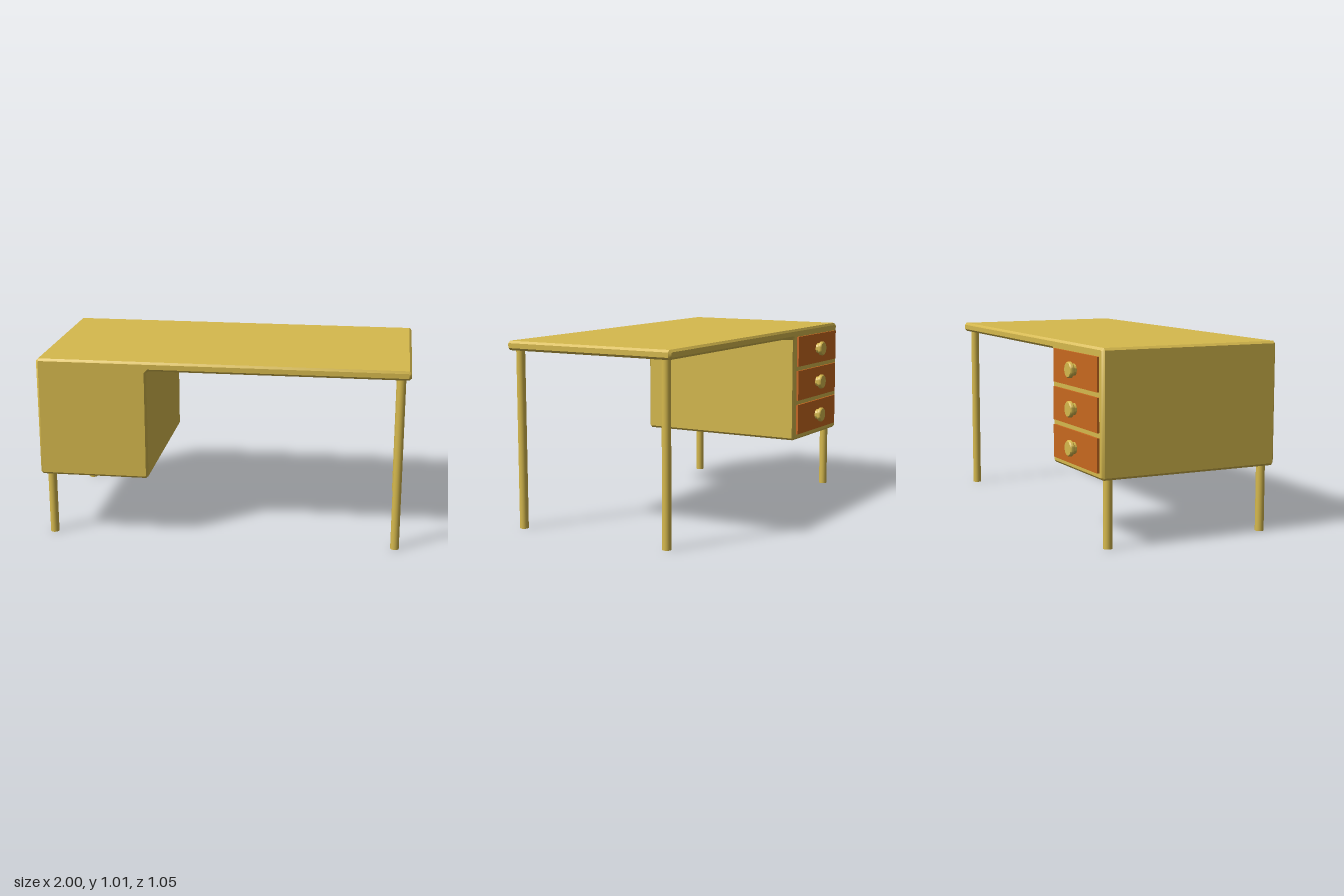
import * as THREE from 'three';
import { toCreasedNormals } from 'three/addons/utils/BufferGeometryUtils.js';

const BEVEL = 0.012;

// Closed outline with every corner cut by a small chamfer
function chamferedShape(corners, cut) {
  const points = [];
  corners.forEach(([x, y], i) => {
    const corner = new THREE.Vector2(x, y);
    for (const step of [-1, 1]) {
      const [nx, ny] = corners[(i + step + corners.length) % corners.length];
      const dir = new THREE.Vector2(nx - x, ny - y).normalize();
      points.push(corner.clone().addScaledVector(dir, cut));
    }
  });
  return new THREE.Shape(points);
}

export function createModel() {
  const model = new THREE.Group();
  model.name = 'desk';
  const wood = new THREE.MeshStandardMaterial({ name: 'golden wood', color: 0xd6b94d });
  const drawerPaint = new THREE.MeshStandardMaterial({ name: 'orange drawer', color: 0xc8681f });

  function add(parent, name, geometry, material, x, y, z) {
    const mesh = new THREE.Mesh(geometry, material);
    mesh.name = name;
    mesh.position.set(x, y, z);
    parent.add(mesh);
    return mesh;
  }

  // Table top and drawer cabinet as one L-shaped body, extruded front to back
  const outline = chamferedShape([
    [-1, 0.355], [-0.398, 0.355], [-0.398, 0.96], [1, 0.96], [1, 1.01], [-1, 1.01],
  ], BEVEL);
  const body = new THREE.ExtrudeGeometry(outline, {
    depth: 1 - 2 * BEVEL,
    bevelEnabled: true,
    bevelThickness: BEVEL,
    bevelSize: BEVEL,
    bevelOffset: -BEVEL,
    bevelSegments: 1,
  });
  add(model, 'deskTopAndCabinet', toCreasedNormals(body, 0.6), wood, 0, 0, -0.475 + BEVEL);

  // Round legs: short under the cabinet, tall under the open end
  for (const [side, x, height] of [['right', -0.949, 0.36], ['left', 0.949, 0.962]]) {
    for (const [end, z] of [['Front', 0.474], ['Back', -0.422]]) {
      const leg = new THREE.CylinderGeometry(0.0235, 0.0235, height, 24);
      add(model, side + end + 'Leg', leg, wood, x, height / 2, z);
    }
  }

  // Knob profile: thin neck, then a wider rounded cap, turned to point backwards
  const knobProfile = [
    [0, 0], [0.03, 0], [0.03, 0.014], [0.037, 0.016], [0.042, 0.021],
    [0.042, 0.034], [0.037, 0.04], [0, 0.04],
  ].map(([r, h]) => new THREE.Vector2(r, h));
  const knob = toCreasedNormals(
    new THREE.LatheGeometry(knobProfile, 28).rotateX(-Math.PI / 2), 0.7);

  // Three drawer fronts with knobs on the back face of the cabinet
  for (let i = 0; i < 3; i++) {
    const drawer = new THREE.Group();
    drawer.name = 'drawer' + (i + 1);
    drawer.position.set(-0.696, 0.878 - i * 0.201, -0.475);
    model.add(drawer);
    add(drawer, 'drawerFront', new THREE.BoxGeometry(0.532, 0.175, 0.022), drawerPaint, 0, 0, -0.001);
    add(drawer, 'drawerKnob', knob, wood, 0, 0, -0.012);
  }

  return model;
}
